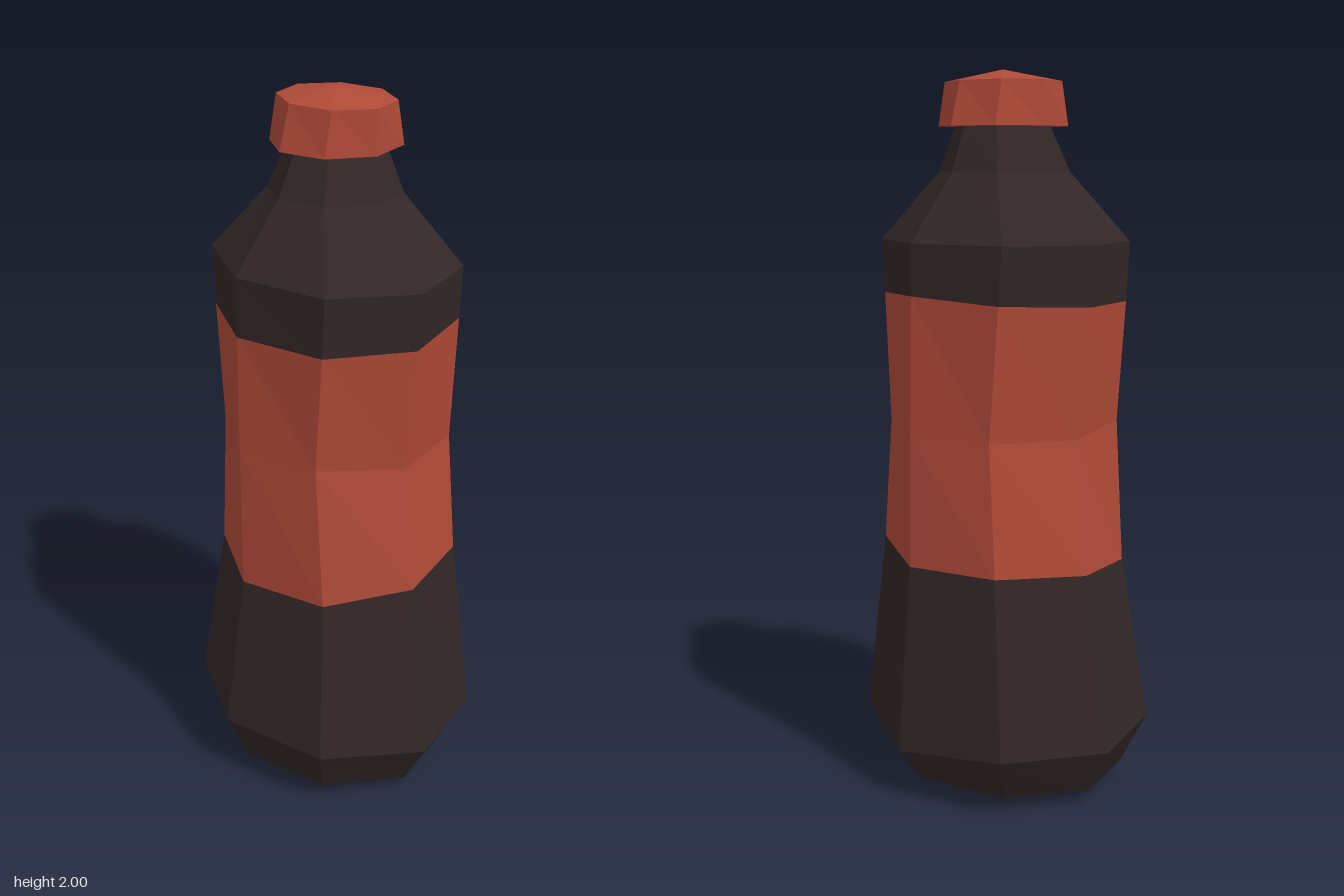
import * as THREE from 'three';

const SIDES = 8;

// A ring is [xMin, xMax, zRadius, heights]; heights is one number or one per corner,
// going round from +x through +z, -x and -z.
function corner([xMin, xMax, rz, heights], i) {
  const k = i % SIDES;
  const a = (k / SIDES) * Math.PI * 2;
  const y = Array.isArray(heights) ? heights[k] : heights;
  return [(xMin + xMax) / 2 + Math.cos(a) * (xMax - xMin) / 2, y, Math.sin(a) * rz];
}

// Flat-faced shell joining the rings from bottom to top; a zero-size ring is a point.
function shell(rings) {
  const pos = [];
  for (let r = 0; r < rings.length - 1; r++) {
    const low = rings[r], up = rings[r + 1];
    for (let i = 0; i < SIDES; i++) {
      const a = corner(low, i), b = corner(up, i), c = corner(up, i + 1), d = corner(low, i + 1);
      if (up[2] > 0) pos.push(...a, ...b, ...c);
      if (low[2] > 0) pos.push(...a, ...c, ...d);
    }
  }
  const g = new THREE.BufferGeometry();
  g.setAttribute('position', new THREE.Float32BufferAttribute(pos, 3));
  g.computeVertexNormals();
  return g;
}

export function createModel() {
  const group = new THREE.Group();
  const dark = new THREE.MeshStandardMaterial({ color: 0x322727, flatShading: true });
  dark.name = 'darkBrown';
  const red = new THREE.MeshStandardMaterial({ color: 0xb04a38, flatShading: true });
  red.name = 'brickRed';

  const add = (name, material, rings) => {
    const mesh = new THREE.Mesh(shell(rings), material);
    mesh.name = name;
    group.add(mesh);
  };

  // Slightly uneven rings shared by the body and the label
  const labelBottom = [-0.313, 0.337, 0.36, [0.66, 0.685, 0.67, 0.643, 0.635, 0.643, 0.655, 0.66]];
  const waist = [-0.313, 0.331, 0.318, [1.02, 1.03, 1.025, 1.045, 1.045, 1.04, 1.02, 1.02]];
  const labelTop = [-0.312, 0.324, 0.363, [1.4, 1.39, 1.38, 1.375, 1.375, 1.375, 1.378, 1.385]];

  // Lower body with a shallow pointed base
  add('lowerBody', dark, [
    [0, 0, 0, 0],
    [-0.31, 0.305, 0.36, 0.04],
    [-0.38, 0.38, 0.443, [0.14, 0.175, 0.18, 0.19, 0.19, 0.185, 0.175, 0.17]],
    labelBottom,
  ]);

  // Pinched label band
  add('label', red, [labelBottom, waist, labelTop]);

  // Shoulder and neck
  add('shoulderAndNeck', dark, [
    labelTop,
    [-0.312, 0.323, 0.38, 1.54],
    [-0.175, 0.185, 0.185, 1.725],
    [-0.115, 0.138, 0.125, 1.86],
  ]);

  // Closed screw cap
  add('cap', red, [
    [0.01, 0.01, 0, 1.848],
    [-0.17, 0.188, 0.178, 1.848],
    [-0.138, 0.157, 0.178, 1.968],
    [0.01, 0.01, 0, 2],
  ]);

  return group;
}
